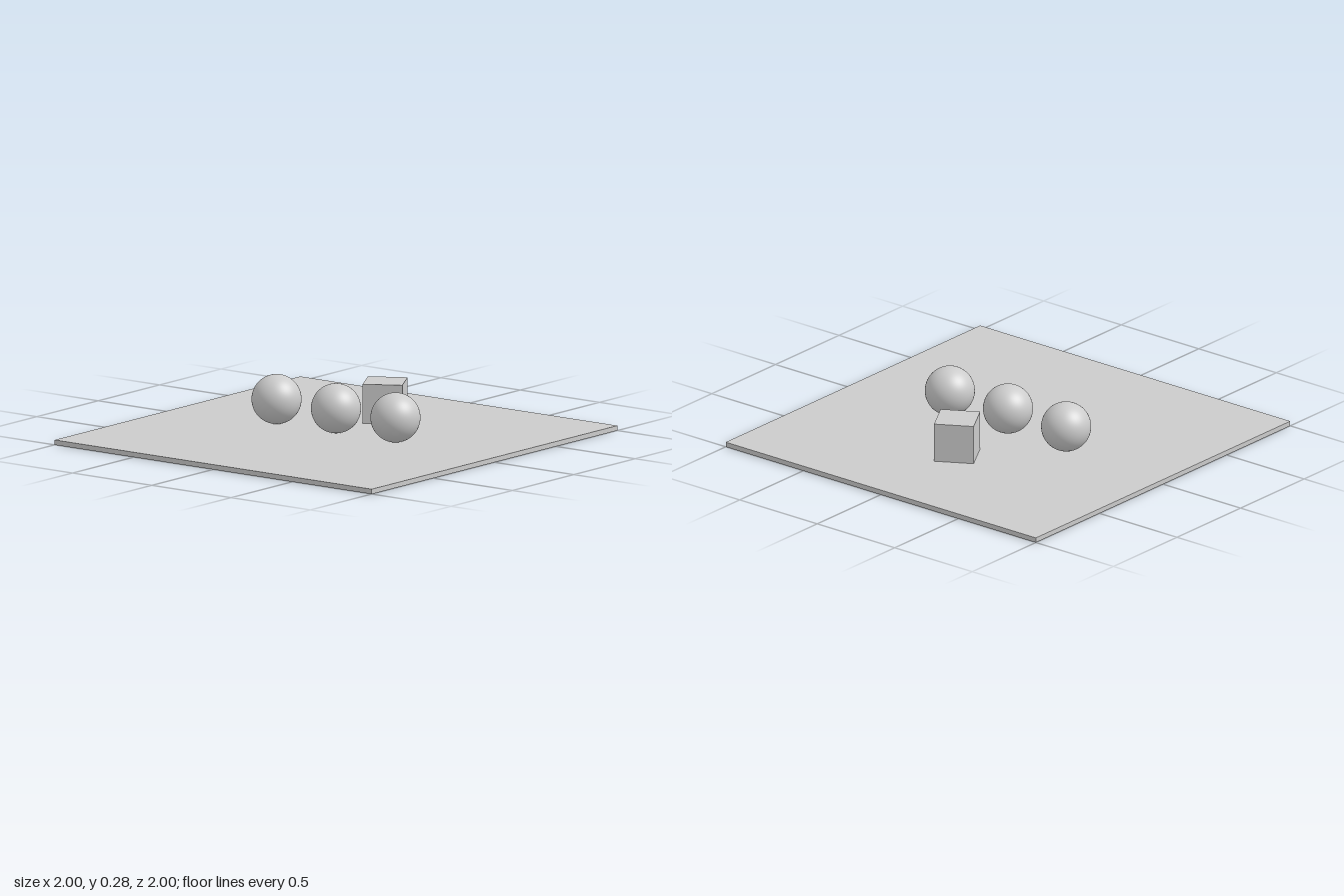
import * as THREE from 'three';

export function createModel() {
  const model = new THREE.Group();
  const material = new THREE.MeshStandardMaterial({ color: 0xcccccc });
  const slabHeight = 0.025;
  const radius = 0.125;
  const cubeSize = 0.2;

  const add = (name, geometry, x, y, z) => {
    const mesh = new THREE.Mesh(geometry, material);
    mesh.name = name;
    mesh.position.set(x, y, z);
    model.add(mesh);
    return mesh;
  };

  // Thin square ground slab
  add('floorSlab', new THREE.BoxGeometry(2, slabHeight, 2), 0, slabHeight / 2, 0);

  // Row of three balls resting on the slab
  const ballGeometry = new THREE.SphereGeometry(radius, 48, 32);
  ['rightBall', 'middleBall', 'leftBall'].forEach((name, i) => {
    add(name, ballGeometry, (i - 1) * 0.375, slabHeight + radius, 0);
  });

  // Turned cube behind the middle ball
  const cube = add('cube', new THREE.BoxGeometry(cubeSize, cubeSize, cubeSize),
    0, slabHeight + cubeSize / 2, -0.4);
  cube.rotation.y = Math.PI / 6;

  return model;
}
